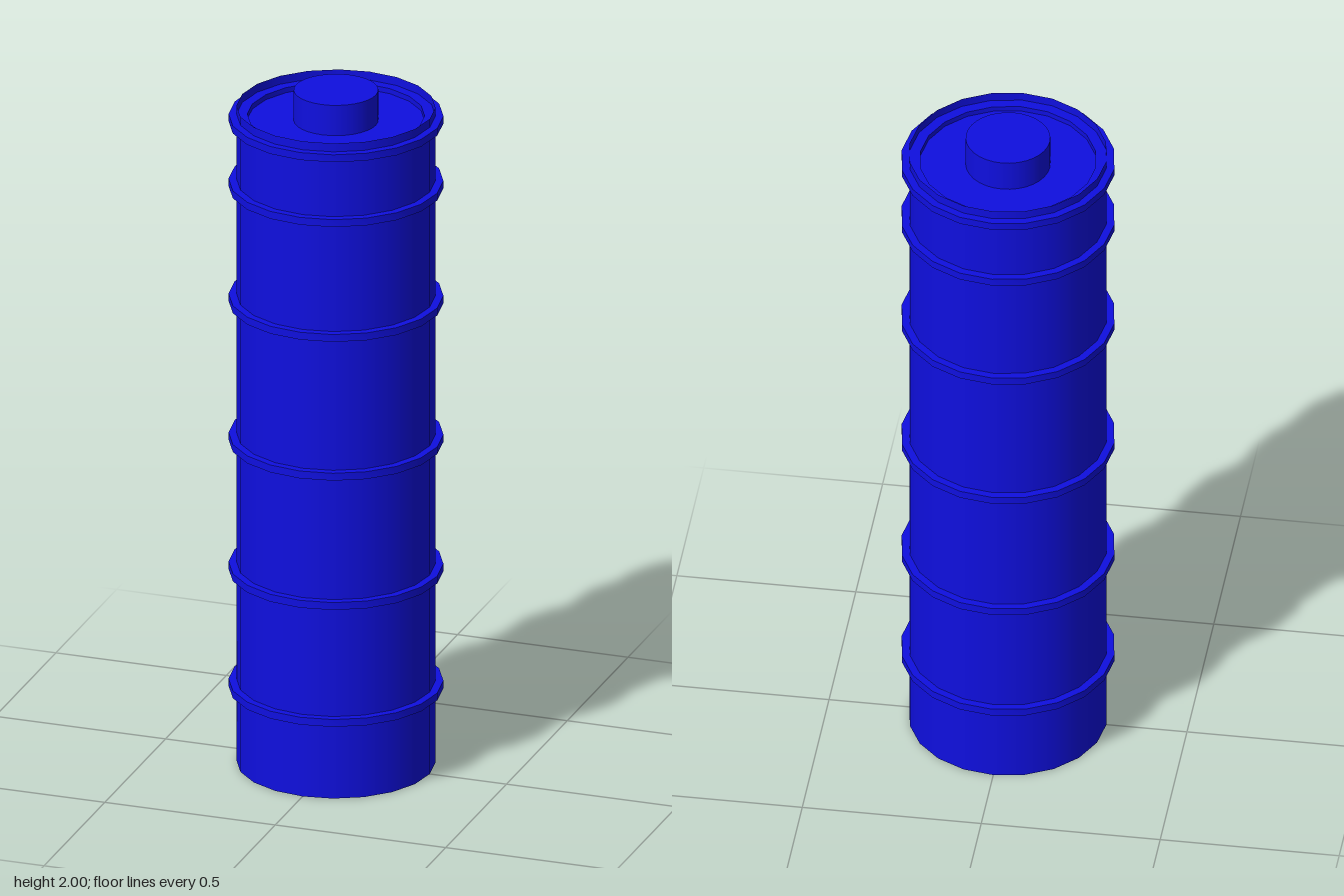
import * as THREE from 'three';
import { toCreasedNormals } from 'three/addons/utils/BufferGeometryUtils.js';

const SIDES = 20;
const BODY_R = 0.275;
const LID_Y = 1.91;

export function createModel() {
  const model = new THREE.Group();
  model.name = 'ribbedCanister';
  const blue = new THREE.MeshStandardMaterial({ color: 0x0f0fe0, side: THREE.DoubleSide });

  const add = (name, geometry, y) => {
    const mesh = new THREE.Mesh(geometry, blue);
    mesh.name = name;
    mesh.position.y = y;
    model.add(mesh);
    return mesh;
  };

  // Thin tube, open at the bottom, its top edge rising past the lid
  const bodyHeight = 1.95;
  add('body', new THREE.CylinderGeometry(BODY_R, BODY_R, bodyHeight, SIDES, 1, true), bodyHeight / 2);

  // Square-section hoops that pass through the wall
  const inner = 0.245, outer = 0.297, half = 0.011;
  const section = [
    [inner, -half], [outer, -half], [outer, half], [inner, half], [inner, -half],
  ].map(([x, y]) => new THREE.Vector2(x, y));
  const hoop = toCreasedNormals(new THREE.LatheGeometry(section, SIDES), 0.6);
  [0.233, 0.581, 0.966, 1.379, 1.721, 1.914].forEach((y, i) => add(`hoop${i + 1}`, hoop, y));

  // Recessed lid
  const lid = new THREE.CircleGeometry(BODY_R, SIDES);
  lid.rotateX(-Math.PI / 2);
  add('lid', lid, LID_Y);

  // Raised knob in the middle of the lid
  const knobHeight = 2 - LID_Y;
  add('knob', new THREE.CylinderGeometry(0.117, 0.117, knobHeight, 32), LID_Y + knobHeight / 2);

  return model;
}
